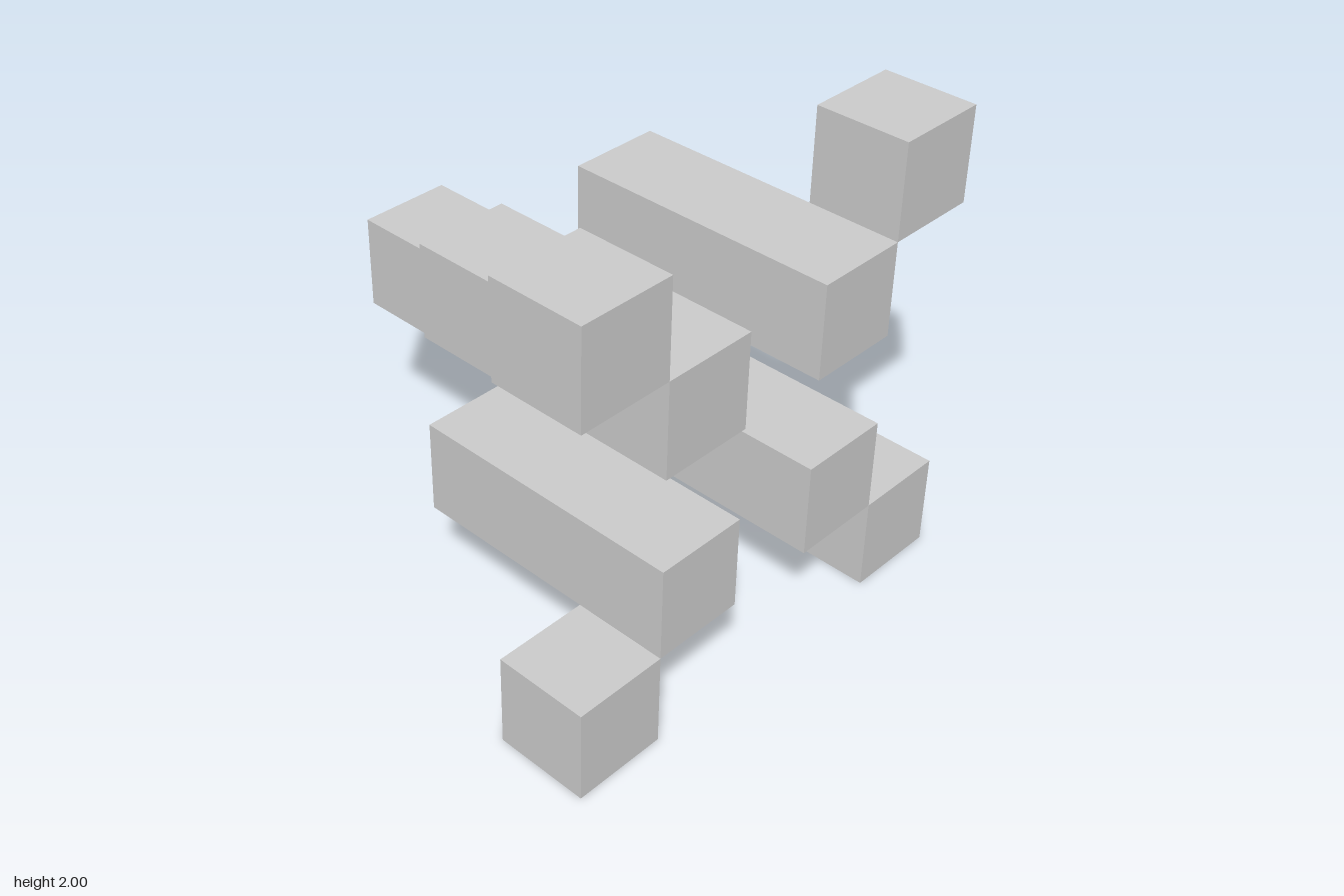
import * as THREE from 'three';

export function createModel() {
  const group = new THREE.Group();
  const material = new THREE.MeshStandardMaterial({ color: 0xcccccc, flatShading: true });
  const size = 0.4; // every bar has the same square section

  // Square bar running along z from zBack to zFront
  function addBar(name, x, y, zBack, zFront) {
    const bar = new THREE.Mesh(new THREE.BoxGeometry(size, size, zFront - zBack), material);
    bar.name = name;
    bar.position.set(x, y, (zBack + zFront) / 2);
    group.add(bar);
  }

  // Long central bar, set back from the front
  addBar('centreBar', 0, 1, -1, 0.6);

  // Diagonal arms: a middle bar and a corner cube in each quadrant
  for (const [side, sx] of [['Left', 1], ['Right', -1]]) {
    for (const [level, sy] of [['upper', 1], ['lower', -1]]) {
      addBar(`${level}${side}Bar`, sx * size, 1 + sy * size, -0.2, 1);
      addBar(`${level}${side}CornerCube`, sx * 2 * size, 1 + sy * 2 * size, 0.6, 1);
    }
  }

  return group;
}
